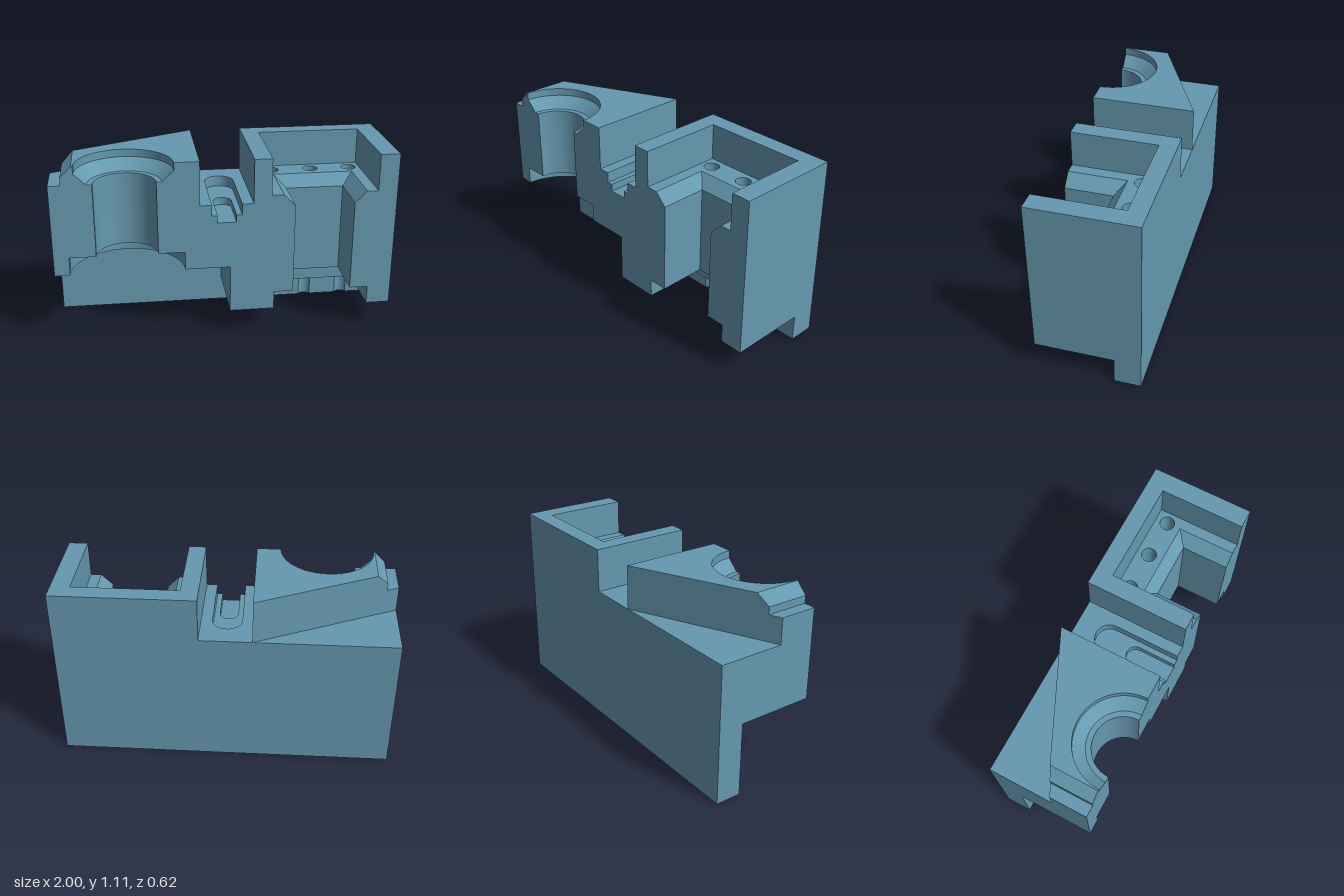
import * as THREE from 'three';
import { toCreasedNormals } from 'three/addons/utils/BufferGeometryUtils.js';

const F = 0.31, B = -0.31, STEP = -0.155; // front, back and undercut planes (z)
const TOP = 1.11, FLOOR = 0.845;
const CX = -0.578, R = { bore: 0.178, seat: 0.21, rim: 0.278, base: 0.333 };
const HOLES = [0.33, 0.575, 0.818], HZ = -0.13, HR = 0.045;
const diagZ = (x) => 0.085 - (x + 1) * 0.395 / 0.845; // slanted rear wall

// Paths are lists of [x, z], walked left to right so that walls face the void
const arc = (cx, cz, r, a0, a1, n = 32) => Array.from({ length: n + 1 }, (_, i) => {
  const a = a0 + (a1 - a0) * i / n;
  return [cx + r * Math.cos(a), cz + r * Math.sin(a)];
});
const half = (r) => arc(CX, F, r, Math.PI, 2 * Math.PI, 40);
const arch = (w, cz) => [[-w, F], ...arc(0, cz, w, Math.PI, 2 * Math.PI), [w, F]];
const bay = (x0, x1, z) => [[x0, F], [x0, z], [x1, z], [x1, F]];
const ring = (outer, inner) => [...outer, ...[...inner].reverse()];

export function createModel() {
  const group = new THREE.Group();
  const material = new THREE.MeshStandardMaterial({ color: 0x6699b0, side: THREE.DoubleSide });
  const add = (name, geometry) => {
    const mesh = new THREE.Mesh(geometry, material);
    mesh.name = name;
    group.add(mesh);
  };

  // Flat face from a 2D outline, placed in space by map(u, v)
  const face = (name, outline, map, flip = false, holes = []) => {
    const toVec = (pts) => pts.map(([u, v]) => new THREE.Vector2(u, v));
    const shape = new THREE.Shape(toVec(outline));
    holes.forEach((h) => shape.holes.push(new THREE.Path(toVec(h))));
    const geo = new THREE.ShapeGeometry(shape);
    const pos = geo.attributes.position;
    for (let i = 0; i < pos.count; i++) pos.setXYZ(i, ...map(pos.getX(i), pos.getY(i)));
    if (flip) geo.index.array.reverse();
    geo.computeVertexNormals();
    add(name, geo);
  };
  const up = (name, outline, y, holes) => face(name, outline, (x, z) => [x, y, z], true, holes);
  const down = (name, outline, y) => face(name, outline, (x, z) => [x, y, z]);

  // Wall along a path, or a slope between two matching paths
  const wall = (name, path, y0, y1, path2 = path) => {
    const pos = [], index = [];
    path.forEach(([x, z], i) => {
      pos.push(x, y0, z, path2[i][0], y1, path2[i][1]);
      const k = 2 * i;
      if (i) index.push(k - 2, k, k + 1, k - 2, k + 1, k - 1);
    });
    const geo = new THREE.BufferGeometry();
    geo.setAttribute('position', new THREE.Float32BufferAttribute(pos, 3));
    geo.setIndex(index);
    add(name, toCreasedNormals(geo, 0.5));
  };

  // Front section faces
  const front = (name, outline) => face(name, outline, (x, y) => [x, y, F]);
  front('frontLeft', [[-1, 0.45], [CX - R.base, 0.45], [CX - R.base, 0.56], [CX - R.bore, 0.56],
    [CX - R.bore, 1], [CX - R.seat, 1], [CX - R.rim, 1.065], [CX - R.rim, TOP],
    [-0.865, TOP], [-0.93, 1.045], [-0.93, 1], [-1, 1]]);
  front('frontMiddle', [[0.02, 0.16], [0.285, 0.16], [0.285, 0.27], [0.4, 0.27], [0.4, 0.82],
    [0.33, 0.89], [0.26, 0.89], [0.26, TOP], [0.155, TOP], [0.155, FLOOR], [0.088, FLOOR],
    [0.088, 0.78], [0.055, 0.78], [0.055, 0.735], [-0.055, 0.735], [-0.055, 0.78],
    [-0.088, 0.78], [-0.088, FLOOR], [-0.155, FLOOR], [-0.155, TOP], [CX + R.rim, TOP],
    [CX + R.rim, 1.065], [CX + R.seat, 1], [CX + R.bore, 1], [CX + R.bore, 0.56],
    [CX + R.base, 0.56], [CX + R.base, 0.45], [0.02, 0.45]]);
  front('frontRight', [[0.86, 0.16], [1, 0.16], [1, TOP], [0.885, TOP], [0.885, 0.89],
    [0.82, 0.89], [0.75, 0.82], [0.75, 0.27], [0.86, 0.27]]);

  // Back and ends
  face('back', [[-1, 0], [1, 0], [1, TOP], [0.155, TOP], [0.155, FLOOR], [-1, FLOOR]],
    (x, y) => [x, y, B], true);
  face('leftEnd', [[B, 0], [STEP, 0], [STEP, 0.16], [F, 0.16], [F, TOP], [B, TOP]],
    (z, y) => [1, y, z], true);
  face('rightEnd', [[B, 0], [STEP, 0], [STEP, 0.45], [F, 0.45], [F, 1], [0.085, 1],
    [0.085, FLOOR], [B, FLOOR]], (z, y) => [-1, y, z]);

  // Foot strip, grooved where the drilled holes break through, and undercut
  const cut = Math.asin((HZ - STEP) / HR);
  const grooves = HOLES.flatMap((x) => arc(x, HZ, HR, Math.PI + cut, 2 * Math.PI - cut, 16));
  const lips = HOLES.flatMap((x) => arc(x, HZ, HR, Math.PI + cut, -cut, 20));
  down('footBottom', [[-1, B], [-1, STEP], ...grooves, [1, STEP], [1, B]], 0);
  wall('footFrontRight', [[-1, STEP], [0.02, STEP]], 0, 0.45);
  wall('footFrontLeft', [[0.02, STEP], ...grooves, [1, STEP]], 0, 0.16);
  wall('undercutStep', [[0.02, STEP], [0.02, F]], 0.16, 0.45);
  down('highUndercut', ring([[-1, F], [-1, STEP], [0.02, STEP], [0.02, F]], half(R.base)), 0.45);
  down('lowUndercut', [[0.02, F], [0.02, STEP], ...lips, [1, STEP], [1, F],
    ...bay(0.285, 0.86, -0.06).reverse()], 0.16);

  // Round bore with base recess and conical seat
  wall('boreBase', half(R.base), 0.45, 0.56);
  down('boreBaseCeiling', ring(half(R.base), half(R.bore)), 0.56);
  wall('bore', half(R.bore), 0.56, 1);
  up('boreLedge', ring(half(R.seat), half(R.bore)), 1);
  wall('boreCone', half(R.seat), 1, 1.065, half(R.rim));
  wall('boreRim', half(R.rim), 1.065, TOP);

  // Top of the bored side: slanted rear wall, edge ledge and chamfer
  const edge = (x) => [[x, diagZ(x)], [x, F]];
  up('boreTop', ring([[-0.865, F], [-0.865, diagZ(-0.865)], [-0.155, B], [-0.155, F]], half(R.rim)), TOP);
  up('edgeLedge', [...edge(-1), ...edge(-0.93).reverse()], 1);
  wall('edgeStep', edge(-0.93), 1, 1.045);
  wall('edgeChamfer', edge(-0.93), 1.045, TOP, edge(-0.865));
  face('slantedWall', [[-1, FLOOR], [-0.155, FLOOR], [-0.155, TOP], [-0.865, TOP],
    [-0.93, 1.045], [-0.93, 1], [-1, 1]], (x, y) => [x, y, diagZ(x)], true);
  up('slantedFloor', [[-1, B], [-0.155, B], [-1, 0.085]], FLOOR);

  // Central channel with a stepped round-ended slot
  const wide = arch(0.088, -0.092), narrow = arch(0.055, 0.08);
  wall('channelRightWall', [[-0.155, F], [-0.155, B]], FLOOR, TOP);
  wall('channelLeftWall', [[0.155, B], [0.155, F]], FLOOR, TOP);
  up('channelFloor', ring(bay(-0.155, 0.155, B), wide), FLOOR);
  wall('wideSlot', wide, 0.78, FLOOR);
  up('wideSlotFloor', ring(wide, narrow), 0.78);
  wall('narrowSlot', narrow, 0.735, 0.78);
  up('narrowSlotFloor', narrow, 0.735);

  // Square pocket: base recess, throat, chamfer, drilled shelf and upper walls
  const recess = bay(0.285, 0.86, -0.06), throat = bay(0.4, 0.75, 0.02);
  const bevel = bay(0.33, 0.82, -0.045), pocket = bay(0.26, 0.885, -0.205);
  const drills = HOLES.map((x) => arc(x, HZ, HR, Math.PI, 3 * Math.PI, 40));
  wall('recess', recess, 0.16, 0.27);
  down('recessCeiling', ring(recess, throat), 0.27);
  wall('throat', throat, 0.27, 0.82);
  wall('throatChamfer', throat, 0.82, 0.89, bevel);
  up('pocketShelf', ring(pocket, bevel), 0.89, drills);
  drills.forEach((d) => wall('drilledHole', d, 0.16, 0.89));
  wall('pocketWalls', pocket, 0.89, TOP);
  up('pocketTop', ring(bay(0.155, 1, B), pocket), TOP);

  return group;
}
